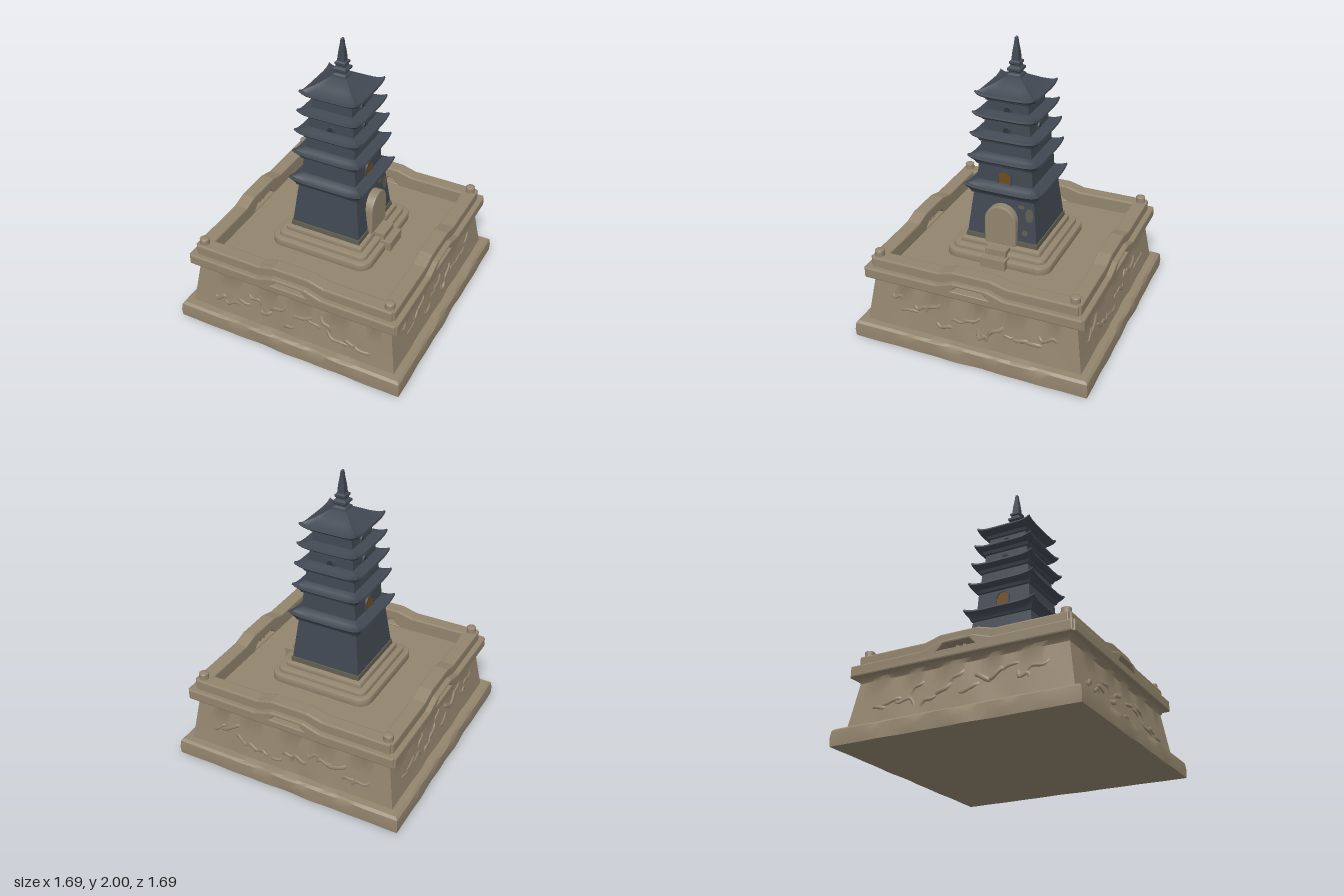
import * as THREE from 'three';
import { mergeGeometries, toCreasedNormals } from 'three/addons/utils/BufferGeometryUtils.js';

const mat = (name, color) => {
  const m = new THREE.MeshStandardMaterial({ color });
  m.name = name;
  return m;
};

export function createModel() {
  const stone = mat('sandstone', 0x93856e);
  const slate = mat('slate', 0x414852);
  const darkSlate = mat('dark slate', 0x2e343c);
  const moss = mat('weathered olive', 0x5e5d4d);
  const amber = mat('amber wood', 0x6e4e1c);

  const model = new THREE.Group();
  model.name = 'pagoda';

  const add = (parent, name, geo, material, x = 0, y = 0, z = 0) => {
    const m = new THREE.Mesh(geo, material);
    m.name = name;
    m.position.set(x, y, z);
    parent.add(m);
    return m;
  };
  const side = (k, name) => {
    const g = new THREE.Group();
    g.name = name;
    g.rotation.y = k * Math.PI / 2;
    model.add(g);
    return g;
  };

  // Square loft: rows of [half width, height, corner lift], bottom to top
  const loft = (rows, n = 12, wear = 0) => {
    const sides = [];
    for (let k = 0; k < 4; k++) {
      const pos = [], idx = [];
      rows.forEach(([h, y, lift = 0], j) => {
        for (let i = 0; i <= n; i++) {
          const t = -1 + 2 * i / n;
          const w = wear * (1 - t * t) * (Math.sin(t * 9 + k * 2 + j) + Math.sin(t * 17 + k + j * 2));
          pos.push(t * h, y + lift * t ** 6, h + (h > 0 ? w : 0));
          if (i < n && j < rows.length - 1) {
            const a = j * (n + 1) + i, d = a + n + 1;
            idx.push(a, a + 1, d + 1, a, d + 1, d);
          }
        }
      });
      const g = new THREE.BufferGeometry();
      g.setAttribute('position', new THREE.Float32BufferAttribute(pos, 3));
      g.setIndex(idx);
      sides.push(g.rotateY(k * Math.PI / 2).toNonIndexed());
    }
    return toCreasedNormals(mergeGeometries(sides), 0.6);
  };

  const polygon = pts => new THREE.Shape(pts.map(p => new THREE.Vector2(...p)));
  const extrude = (shape, depth, bevel = 0) => new THREE.ExtrudeGeometry(shape, {
    depth, bevelEnabled: bevel > 0, bevelSize: bevel, bevelThickness: bevel,
    bevelOffset: -bevel, bevelSegments: 2, curveSegments: 12 });

  // Arch outline standing on y = 0
  const arch = (Kind, w, h) => new Kind().moveTo(-w, 0).lineTo(w, 0).lineTo(w, h - w)
    .absarc(0, h - w, w, 0, Math.PI, false).lineTo(-w, 0);

  // Terrace: footing, battered walls, cornice and floor
  add(model, 'footing', loft([[0, 0], [0.835, 0], [0.838, 0.05], [0.832, 0.1], [0.815, 0.115], [0.7, 0.12]], 32, 0.003), stone);
  add(model, 'terraceWall', loft([[0.77, 0.11], [0.755, 0.2], [0.74, 0.3], [0.722, 0.42], [0.735, 0.445],
    [0.758, 0.46], [0.758, 0.5], [0, 0.5]], 32, 0.003), stone);

  let seed = 11;
  const rand = (a, b) => {
    seed = (seed * 1664525 + 1013904223) % 4294967296;
    return a + (b - a) * seed / 4294967296;
  };

  // Parapet with a raised middle and slotted drain on every side
  const hump = (end, low, base, top, a, b) => {
    const s = polygon([[-end, base], [end, base], [end, low], [b, low], [a, top], [-a, top], [-b, low], [-end, low]]);
    s.holes.push(new THREE.Path([[-0.13, 0.51], [-0.09, 0.548], [0.09, 0.548], [0.13, 0.51]]
      .map(p => new THREE.Vector2(...p))));
    return s;
  };
  for (let k = 0; k < 4; k++) {
    const g = side(k, 'terraceSide');
    add(g, 'parapet', extrude(hump(0.725, 0.6, 0.48, 0.63, 0.13, 0.24), 0.08, 0.01), stone, 0, 0, 0.65);
    add(g, 'moulding', extrude(hump(0.765, 0.53, 0.455, 0.57, 0.12, 0.24), 0.04, 0.01), stone, 0, 0, 0.727);
    for (const x of [-0.025, 0.025])
      add(g, 'drainPost', new THREE.BoxGeometry(0.018, 0.05, 0.05), stone, x, 0.525, 0.69);
    add(g, 'cornerPost', new THREE.CylinderGeometry(0.032, 0.038, 0.15, 12), stone, 0.69, 0.565, 0.69);
    add(g, 'cornerCap', new THREE.SphereGeometry(0.034, 12, 6, 0, Math.PI * 2, 0, Math.PI / 2)
      .scale(1, 0.35, 1), stone, 0.69, 0.635, 0.69);

    // Worn carved relief, half sunk into the sloping wall
    const relief = new THREE.Group();
    relief.name = 'carvedRelief';
    relief.position.set(0, 0.115, 0.767);
    relief.rotation.x = -0.14;
    g.add(relief);
    for (let i = 0; i < 13; i++) {
      const x = -0.55 + i * 0.09, y = rand(0.08, 0.22), dx = rand(0.04, 0.09), dy = rand(-0.07, 0.07);
      const path = new THREE.CatmullRomCurve3([
        new THREE.Vector3(x - dx, y - dy, -0.025), new THREE.Vector3(x - dx / 2, y + rand(-0.03, 0.03), 0),
        new THREE.Vector3(x + dx / 2, y + rand(-0.03, 0.03), 0), new THREE.Vector3(x + dx, y + dy, -0.025)]);
      add(relief, 'carving', new THREE.TubeGeometry(path, 14, rand(0.01, 0.016), 8).scale(1, 1, 0.6), stone);
    }
  }

  // Rounded plinth steps
  const slab = (name, half, r, y, height) => {
    const c = half - r;
    const s = new THREE.Shape().absarc(c, c, r, 0, Math.PI / 2).absarc(-c, c, r, Math.PI / 2, Math.PI)
      .absarc(-c, -c, r, Math.PI, Math.PI * 1.5).absarc(c, -c, r, Math.PI * 1.5, Math.PI * 2);
    const b = 0.014;
    add(model, name, toCreasedNormals(extrude(s, height - b, b).rotateX(-Math.PI / 2), 0.6), stone, 0, y, 0);
  };
  slab('plinthLower', 0.375, 0.09, 0.49, 0.065);
  slab('plinthMiddle', 0.335, 0.05, 0.54, 0.045);
  slab('plinthUpper', 0.29, 0.02, 0.57, 0.05);
  add(model, 'entranceStepLower', new THREE.BoxGeometry(0.12, 0.07, 0.18), stone, 0.355, 0.535, 0);
  add(model, 'entranceStepUpper', new THREE.BoxGeometry(0.1, 0.11, 0.15), stone, 0.31, 0.56, 0);

  // Tower storeys: [base y, base half, neck y, neck half, eave half, eave y, next half, next y]
  const storeys = [
    [0.61, 0.256, 0.945, 0.215, 0.268, 0.995, 0.2, 1.04],
    [1.03, 0.198, 1.155, 0.19, 0.247, 1.2, 0.184, 1.24],
    [1.23, 0.182, 1.315, 0.174, 0.234, 1.357, 0.166, 1.39],
    [1.38, 0.163, 1.465, 0.157, 0.22, 1.5, 0.148, 1.53],
    [1.52, 0.145, 1.595, 0.138, 0.207, 1.637, 0.05, 1.735]];
  storeys.forEach(([y0, h0, y1, h1, he, ye, h2, y2], i) => {
    add(model, 'storeyWall', loft([[h0, y0], [h1, y1 + 0.02]]), slate);
    const mid = (he + h2) / 2, last = i === 4;
    add(model, 'roof', loft([[h1 - 0.01, y1 - 0.012], [h1 + 0.012, y1], [h1 + 0.02, y1 + 0.02],
      [he - 0.012, ye - 0.012, 0.016], [he, ye, 0.024], [he - 0.004, ye + 0.012, 0.024],
      [he - 0.018, ye + 0.014, 0.014], [mid, ye + (y2 - ye) * (last ? 0.5 : 0.62), 0.004],
      [h2, y2], [0, y2]], 20), slate);
  });

  // Weathered band round the foot of the tower
  add(model, 'footBand', loft([[0.262, 0.61], [0.258, 0.652], [0.24, 0.656]], 24, 0.0008), moss);

  // Square stepped finial
  add(model, 'finial', loft([[0.05, 1.73], [0.047, 1.745], [0.034, 1.755], [0.034, 1.765], [0.047, 1.775],
    [0.047, 1.79], [0.032, 1.8], [0.03, 1.81], [0.037, 1.818], [0.037, 1.832], [0.025, 1.84],
    [0.024, 1.86], [0.02, 1.9], [0.013, 1.95], [0.009, 1.99], [0, 2]], 2), slate);

  // Entrance on the left (+x) face
  const east = side(1, 'entranceFace');
  const surround = arch(THREE.Shape, 0.112, 0.29);
  surround.holes.push(arch(THREE.Path, 0.076, 0.252));
  add(east, 'doorSurround', extrude(surround, 0.075, 0.008), stone, 0, 0.612, 0.2);
  add(east, 'door', extrude(arch(THREE.Shape, 0.08, 0.256), 0.008), amber, 0, 0.612, 0.255);

  // Moss patches lying on the sloping wall
  for (const [x, y, rx, ry] of [[0.19, 0.85, 0.03, 0.05], [0.165, 0.72, 0.02, 0.022], [0.13, 0.9, 0.025, 0.015]]) {
    const p = add(east, 'mossPatch', new THREE.CircleGeometry(1, 9).scale(rx, ry, 1),
      moss, x, y, 0.259 - (y - 0.61) * 0.12);
    p.rotation.x = -0.119;
  }

  // Arched windows: large on the second storey, small niches above
  const niche = (g, y, half) => {
    const rim = arch(THREE.Shape, 0.03, 0.05);
    rim.holes.push(arch(THREE.Path, 0.022, 0.042));
    add(g, 'nicheRim', extrude(rim, 0.015), slate, 0, y, half - 0.005);
    add(g, 'niche', extrude(arch(THREE.Shape, 0.023, 0.043), 0.006), darkSlate, 0, y, half - 0.003);
  };
  const faces = [side(0, 'frontFace'), east, side(2, 'backFace'), side(3, 'rightFace')];
  faces.forEach((g, k) => {
    niche(g, 1.385, 0.162);
    if (k % 2) {
      niche(g, 1.522, 0.144);
      const rim = arch(THREE.Shape, 0.052, 0.1);
      rim.holes.push(arch(THREE.Path, 0.043, 0.091));
      add(g, 'windowRim', extrude(rim, 0.014), slate, 0, 1.034, 0.193);
      add(g, 'window', extrude(arch(THREE.Shape, 0.044, 0.092), 0.008), amber, 0, 1.034, 0.193);
    }
  });
  return model;
}
